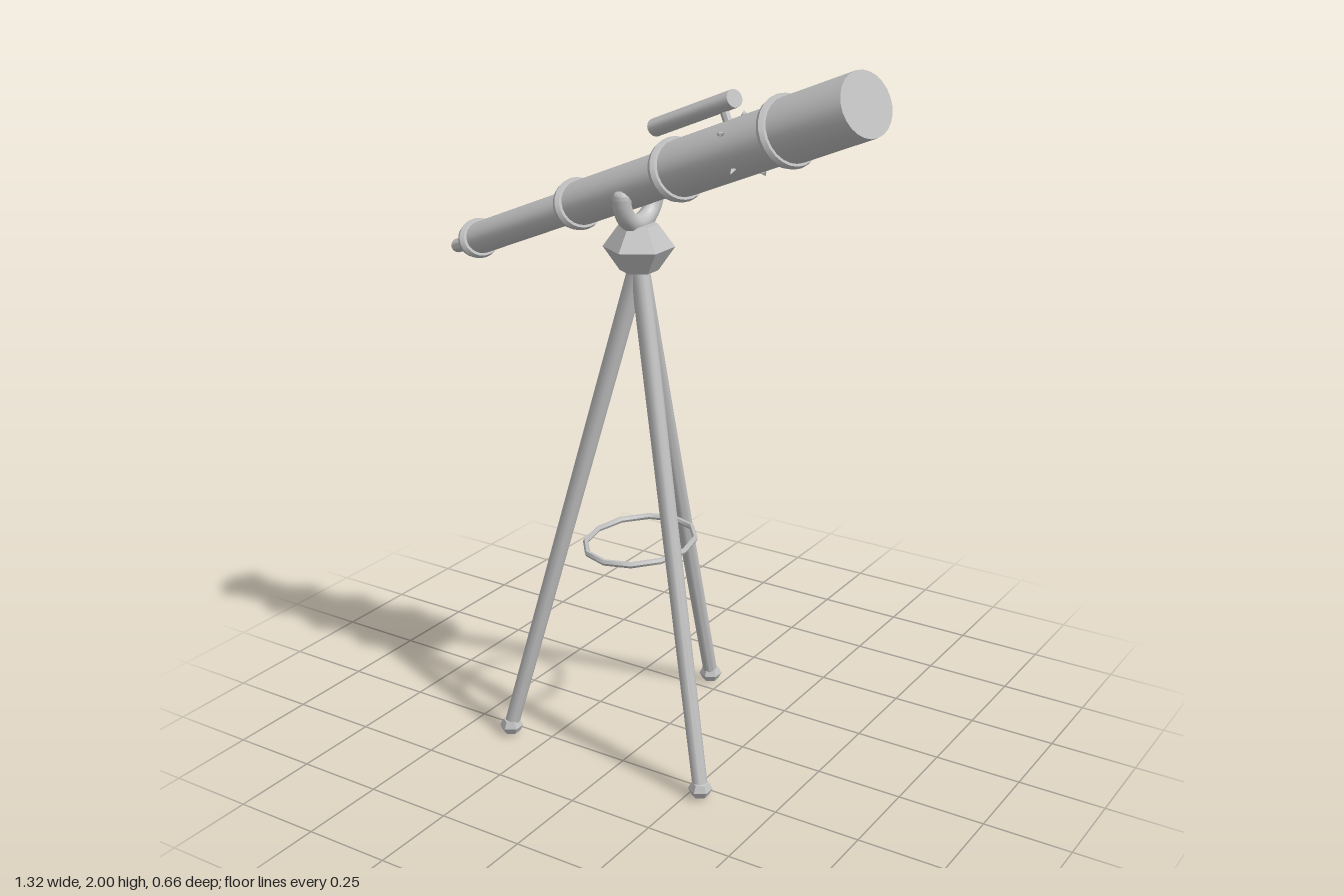
import * as THREE from 'three';
import { toCreasedNormals } from 'three/addons/utils/BufferGeometryUtils.js';

const grey = new THREE.MeshStandardMaterial({ color: 0xc0c0c0 });
grey.name = 'paleGrey';

function add(parent, name, geometry, x = 0, y = 0, z = 0) {
  const mesh = new THREE.Mesh(toCreasedNormals(geometry, 0.65), grey);
  mesh.name = name;
  mesh.position.set(x, y, z);
  parent.add(mesh);
  return mesh;
}

const lathe = (points, sides) =>
  new THREE.LatheGeometry(points.map(([r, y]) => new THREE.Vector2(r, y)), sides);

// Three splayed legs with faceted feet, a spreader ring and a hub
function makeTripod() {
  const tripod = new THREE.Group();
  tripod.name = 'tripod';
  const apex = new THREE.Vector3(0, 1.43, 0);
  const up = new THREE.Vector3(0, 1, 0);
  for (const [x, z] of [[-0.325, 0.2], [0.325, 0.2], [0, -0.39]]) {
    const foot = new THREE.Vector3(x, 0.03, z);
    const along = apex.clone().sub(foot);
    const leg = add(tripod, 'leg', new THREE.CylinderGeometry(0.026, 0.021, along.length(), 12));
    leg.position.copy(foot).addScaledVector(along, 0.5);
    leg.quaternion.setFromUnitVectors(up, along.normalize());
    add(tripod, 'foot', new THREE.SphereGeometry(0.034, 6, 4).rotateY(Math.PI / 2).scale(1, 0.8, 1), x, 0.0272, z);
  }
  const ring = new THREE.TorusGeometry(0.181, 0.009, 6, 12).rotateX(Math.PI / 2).scale(0.8, 1, 1);
  add(tripod, 'spreaderRing', ring, 0, 0.622, 0);
  add(tripod, 'hub', lathe([[0, 1.41], [0.052, 1.41], [0.097, 1.475], [0.052, 1.537], [0, 1.537]], 6));

  // U-shaped cradle, rounded at both ends
  const cradle = new THREE.TorusGeometry(0.08, 0.026, 10, 16, Math.PI)
    .rotateX(Math.PI).rotateY(Math.PI / 2);
  add(tripod, 'cradle', cradle, 0, 1.618, 0);
  for (const side of [-1, 1]) {
    add(tripod, 'cradleTip', new THREE.SphereGeometry(0.026, 12, 8), 0, 1.618, side * 0.08);
  }
  return tripod;
}

// Stepped tube built along local y; local -x is its upper side
function makeTelescope() {
  const telescope = new THREE.Group();
  telescope.name = 'telescope';
  const sections = [
    ['eyepiece', 0.03, 0, 0.084],
    ['rearTube', 0.068, 0.084, 0.46],
    ['middleTube', 0.091, 0.46, 0.803],
    ['mainTube', 0.113, 0.803, 1.152],
    ['frontTube', 0.127, 1.152, 1.379],
  ];
  sections.forEach(([name, r, from, to], i) => {
    add(telescope, name, new THREE.CylinderGeometry(r, r, to - from, 24), 0, (from + to) / 2, 0);
    if (i > 0) {
      const collar = new THREE.TorusGeometry(r + 0.004, 0.013, 6, 24).rotateX(Math.PI / 2);
      add(telescope, 'collar', collar, 0, from, 0);
    }
  });

  // Finder scope on a small post
  add(telescope, 'finder', new THREE.CylinderGeometry(0.036, 0.036, 0.256, 20), -0.181, 0.903, 0);
  add(telescope, 'finderPost', new THREE.CylinderGeometry(0.012, 0.012, 0.06, 8).rotateZ(Math.PI / 2), -0.128, 0.99, 0);

  // Five pointed screws around the main tube
  for (let i = 0; i < 5; i++) {
    const angle = (36 + 72 * i) * Math.PI / 180;
    const screw = add(telescope, 'screw', new THREE.OctahedronGeometry(0.01).scale(1, 1, 1.7),
      -0.12 * Math.sin(angle), 1.02, 0.12 * Math.cos(angle));
    screw.rotation.y = -angle;
  }
  return telescope;
}

export function createModel() {
  const model = new THREE.Group();
  model.name = 'telescopeOnTripod';

  const tripod = makeTripod();
  tripod.position.set(-0.038, 0, 0.095);
  model.add(tripod);

  const telescope = makeTelescope();
  telescope.scale.x = 0.67;
  telescope.rotation.z = THREE.MathUtils.degToRad(22.4 - 90);
  telescope.position.set(-0.655, 1.392, 0.095);
  model.add(telescope);
  return model;
}
